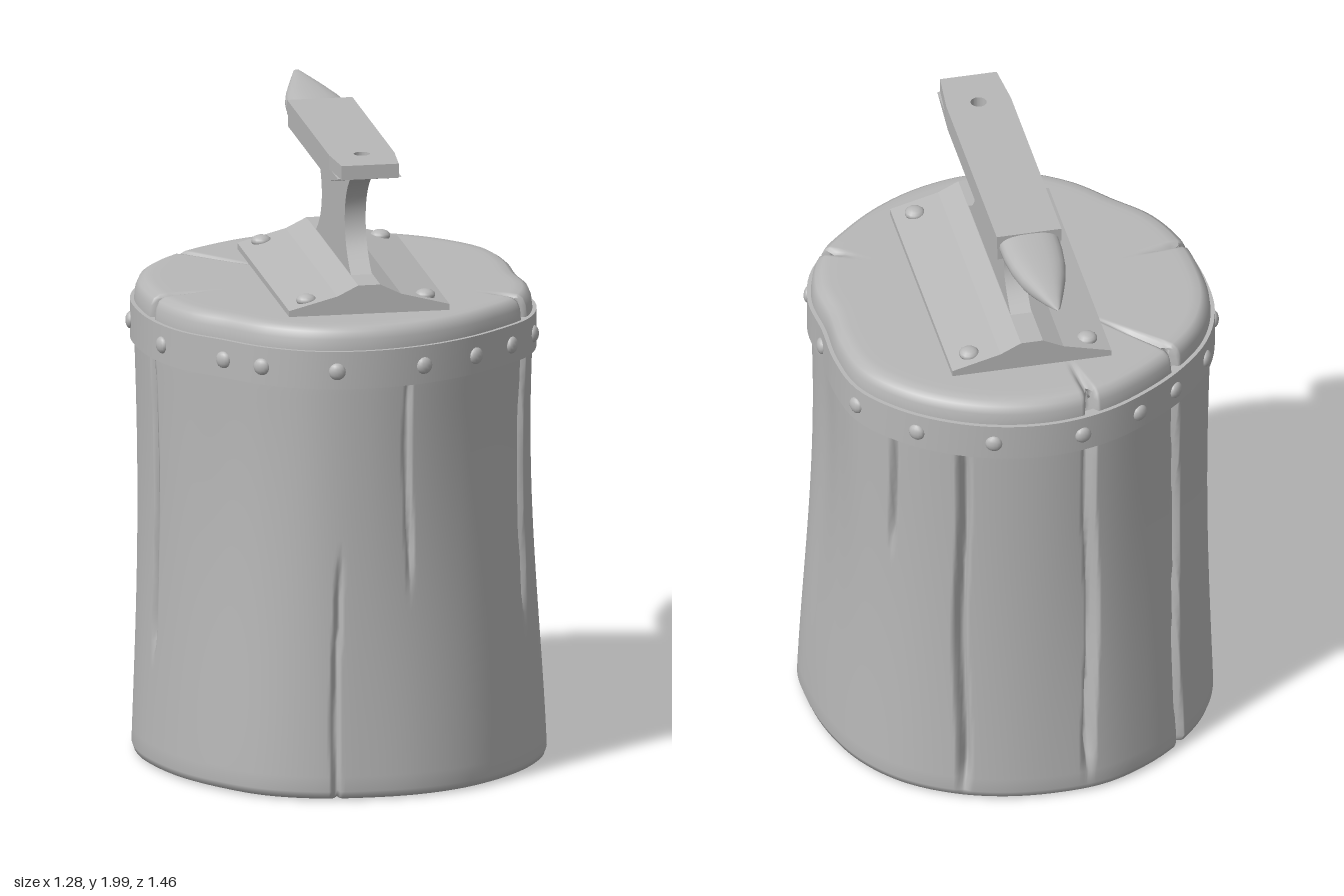
import * as THREE from 'three';
import { toCreasedNormals } from 'three/addons/utils/BufferGeometryUtils.js';

const CX = -0.02, CZ = 0.07; // stump axis
const AX = 0.013;            // anvil centre line
const rad = THREE.MathUtils.degToRad;

// Stump radii every 15 degrees, from +x towards +z
const TOP = [.575, .605, .62, .605, .605, .613, .622, .622, .6, .573, .583, .583,
  .585, .598, .602, .594, .593, .605, .615, .62, .624, .629, .627, .595];
const BASE = [.65, .67, .667, .662, .66, .653, .645, .648, .642, .62, .61, .606,
  .615, .625, .63, .625, .625, .63, .625, .63, .64, .65, .65, .645];

// Cracks: angle, lower end, upper end, half width, depth, length on the top face
const CRACKS = [
  [99, -0.1, 0.78, 0.018, 0.035, 0], [78, 0.68, 1.4, 0.018, 0.03, 0],
  [32, 0.5, 1.6, 0.03, 0.05, 0.08], [318, 0.88, 1.4, 0.02, 0.03, 0],
  [297, 0.02, 1.4, 0.035, 0.045, 0], [168, 0.38, 1.6, 0.028, 0.045, 0.13],
  [226, -0.1, 1.6, 0.03, 0.06, 0.27], [259.5, 0.08, 1.6, 0.035, 0.06, 0.15],
];

// Smooth periodic interpolation of a radius list
function radiusAt(list, a) {
  const n = list.length, f = ((a / (2 * Math.PI)) % 1 + 1) % 1 * n;
  const i = Math.floor(f), t = f - i, p = (k) => list[(i + k + n) % n];
  return p(0) + 0.5 * t * (p(1) - p(-1) + t * (2 * p(-1) - 5 * p(0) + 4 * p(1) - p(2)
    + t * (3 * (p(0) - p(1)) + p(2) - p(-1))));
}

function wallRadius(a, y) {
  const s = THREE.MathUtils.smoothstep(y, 0, 1.25);
  const waist = 0.014 * Math.sin(Math.PI * Math.min(y / 1.35, 1));
  return THREE.MathUtils.lerp(radiusAt(BASE, a), radiusAt(TOP, a) + 0.018, s) - waist;
}

// Surface of closed loops; fn(row, angle) returns a point
function loops(rows, cols, fn) {
  const pos = [], index = [];
  for (let i = 0; i < rows; i++) {
    for (let j = 0; j < cols; j++) pos.push(...fn(i, j / cols * 2 * Math.PI));
  }
  for (let i = 0; i < rows - 1; i++) {
    for (let j = 0; j < cols; j++) {
      const a = i * cols + j, b = i * cols + (j + 1) % cols;
      index.push(a, a + cols, b, b, a + cols, b + cols);
    }
  }
  const g = new THREE.BufferGeometry();
  g.setAttribute('position', new THREE.Float32BufferAttribute(pos, 3));
  g.setIndex(index);
  g.computeVertexNormals();
  return g;
}

function crackDepth(a, y, inset) {
  let depth = 0;
  CRACKS.forEach(([deg, y0, y1, w, d, len], k) => {
    let da = a - rad(deg) - 0.012 * Math.sin(y * 6 + k);
    da = Math.atan2(Math.sin(da), Math.cos(da));
    let v = Math.max(0, 1 - Math.abs(da) / w);
    v *= THREE.MathUtils.clamp(Math.min(y - y0, y1 - y) / 0.12, 0, 1);
    if (inset > 0) v *= Math.max(0, 1 - inset / (len + 0.001));
    depth = Math.max(depth, v * d);
  });
  return depth;
}

// Hollow stump: bottom ring, wall, rounded rim, top face
function stumpGeometry() {
  const rings = [{ fixed: 0.35, y: 0.015 }, { in: 0.03, y: 0.012 }, { in: 0.008, y: 0.02 }];
  for (let i = 0; i <= 30; i++) rings.push({ in: 0, y: 0.04 + 1.41 * i / 30 });
  rings.push({ in: 0.004, y: 1.485 }, { in: 0.014, y: 1.508 }, { in: 0.032, y: 1.519, cap: 0.005 });
  for (const d of [0.06, 0.09, 0.13, 0.18, 0.25, 0.32]) rings.push({ in: d, y: 1.521, cap: d - 0.02 });
  rings.push({ fixed: 0, y: 1.521 });
  return loops(rings.length, 480, (i, a) => {
    const ring = rings[i];
    let r = ring.fixed ?? wallRadius(a, ring.y) - ring.in, y = ring.y;
    if (ring.fixed === undefined) {
      const c = crackDepth(a, y, ring.cap ?? 0);
      if (ring.cap) y -= c; else r -= c;
    }
    return [CX + r * Math.cos(a), y, CZ + r * Math.sin(a)];
  });
}

// Outline extruded across x; points are [z, y]
function sideExtrude(shape, width) {
  return new THREE.ExtrudeGeometry(shape, { depth: width, bevelEnabled: false, curveSegments: 16 })
    .translate(0, 0, -width / 2).rotateY(-Math.PI / 2).translate(AX, 0, 0);
}
const polygon = (pts) => new THREE.Shape(pts.map((p) => new THREE.Vector2(...p)));

export function createModel() {
  const model = new THREE.Group();
  const grey = new THREE.MeshStandardMaterial({ color: 0xb8b8b8 });
  grey.name = 'grey';
  const greyOpen = grey;
  greyOpen.side = THREE.DoubleSide;
  const add = (name, geometry, parent = model) => {
    const mesh = new THREE.Mesh(geometry, grey);
    mesh.name = name;
    parent.add(mesh);
    return mesh;
  };
  const group = (name) => {
    const g = new THREE.Group();
    g.name = name;
    model.add(g);
    return g;
  };

  add('stump', stumpGeometry());

  // Iron band around the stump
  const lip = [[-0.02, 1.33], [0.013, 1.33], [0.013, 1.45], [-0.02, 1.45]];
  add('band', toCreasedNormals(loops(4, 120, (i, a) => {
    const r = wallRadius(a, 1.39) + lip[i][0];
    return [CX + r * Math.cos(a), lip[i][1], CZ + r * Math.sin(a)];
  }), 0.7));

  // Rivets on the band, given as rough x, z positions
  const rivets = group('bandRivets');
  const rivetGeometry = new THREE.SphereGeometry(0.027, 14, 8);
  for (const [x, z] of [[.155, .68], [.325, .575], [.46, .47], [.55, .345], [.56, .075], [.53, -.245],
    [.4, -.44], [.175, -.54], [-.12, .7], [-.335, .6], [-.44, .5], [-.59, .28], [-.62, -.05],
    [-.56, -.25], [-.43, -.39], [-.3, -.49], [-.1, -.55]]) {
    const a = Math.atan2(z - CZ, x - CX), r = wallRadius(a, 1.39) + 0.012;
    const rivet = add('bandRivet', rivetGeometry, rivets);
    rivet.position.set(CX + r * Math.cos(a), 1.387, CZ + r * Math.sin(a));
    rivet.rotation.y = -a;
    rivet.scale.x = 0.6;
  }

  // Anvil foot with sloping sides
  const anvil = group('anvil');
  const foot = polygon([[-.253, 1.515], [.253, 1.515], [.253, 1.54], [.1, 1.58], [.035, 1.612],
    [-.035, 1.612], [-.1, 1.58], [-.253, 1.54]]);
  add('foot', new THREE.ExtrudeGeometry(foot, { depth: 0.885, bevelEnabled: false })
    .translate(AX, 0, -0.355), anvil);
  for (const x of [-0.175, 0.2]) {
    for (const z of [-0.297, 0.47]) {
      const nail = add('footNail', new THREE.SphereGeometry(0.032, 14, 8), anvil);
      nail.position.set(x, 1.558, z);
      nail.scale.y = 0.6;
    }
  }

  // Thin waisted neck, running on under the horn
  const neck = new THREE.Shape();
  neck.moveTo(0.42, 1.6);
  neck.bezierCurveTo(0.26, 1.67, 0.24, 1.83, 0.39, 1.92);
  neck.lineTo(-0.55, 1.93);
  neck.lineTo(-0.54, 1.915);
  neck.bezierCurveTo(-0.42, 1.87, -0.3, 1.845, -0.14, 1.838);
  neck.bezierCurveTo(-0.08, 1.77, -0.08, 1.68, -0.22, 1.6);
  add('neck', toCreasedNormals(sideExtrude(neck, 0.066), 0.6), anvil);

  // Head: face plate with a round hole over a tapered underside
  const face = polygon([[AX - .09, .545], [AX + .09, .545], [AX + .103, .4], [AX + .103, -.315],
    [AX - .103, -.315], [AX - .103, .4]]);
  face.holes.push(new THREE.Path().absarc(AX, 0.4, 0.025, 0, Math.PI * 2, true));
  add('facePlate', new THREE.ExtrudeGeometry(face, { depth: 0.045, bevelEnabled: false, curveSegments: 16 })
    .rotateX(Math.PI / 2).translate(0, 2, 0), anvil);
  add('headUnderside', sideExtrude(polygon([[.54, 1.956], [.39, 1.915], [-.315, 1.915], [-.315, 1.956]]),
    0.2), anvil);

  // Horn: z, half width, lower and upper height
  const horn = [[-.3, .095, 1.915, 1.997], [-.38, .093, 1.915, 1.997], [-.45, .085, 1.914, 1.997],
    [-.52, .07, 1.918, 1.997], [-.58, .052, 1.932, 1.997], [-.65, .03, 1.957, 1.996],
    [-.71, .01, 1.982, 1.995], [-.725, 0, 1.99, 1.99]];
  add('horn', loops(horn.length, 24, (i, a) => {
    const [z, w, lo, hi] = horn[i];
    const c = Math.cos(a), s = Math.sin(a);
    return [AX + w * Math.sign(c) * Math.abs(c) ** 0.8,
      (lo + hi) / 2 + (hi - lo) / 2 * Math.sign(s) * Math.abs(s) ** 0.8, z];
  }), anvil);

  return model;
}
